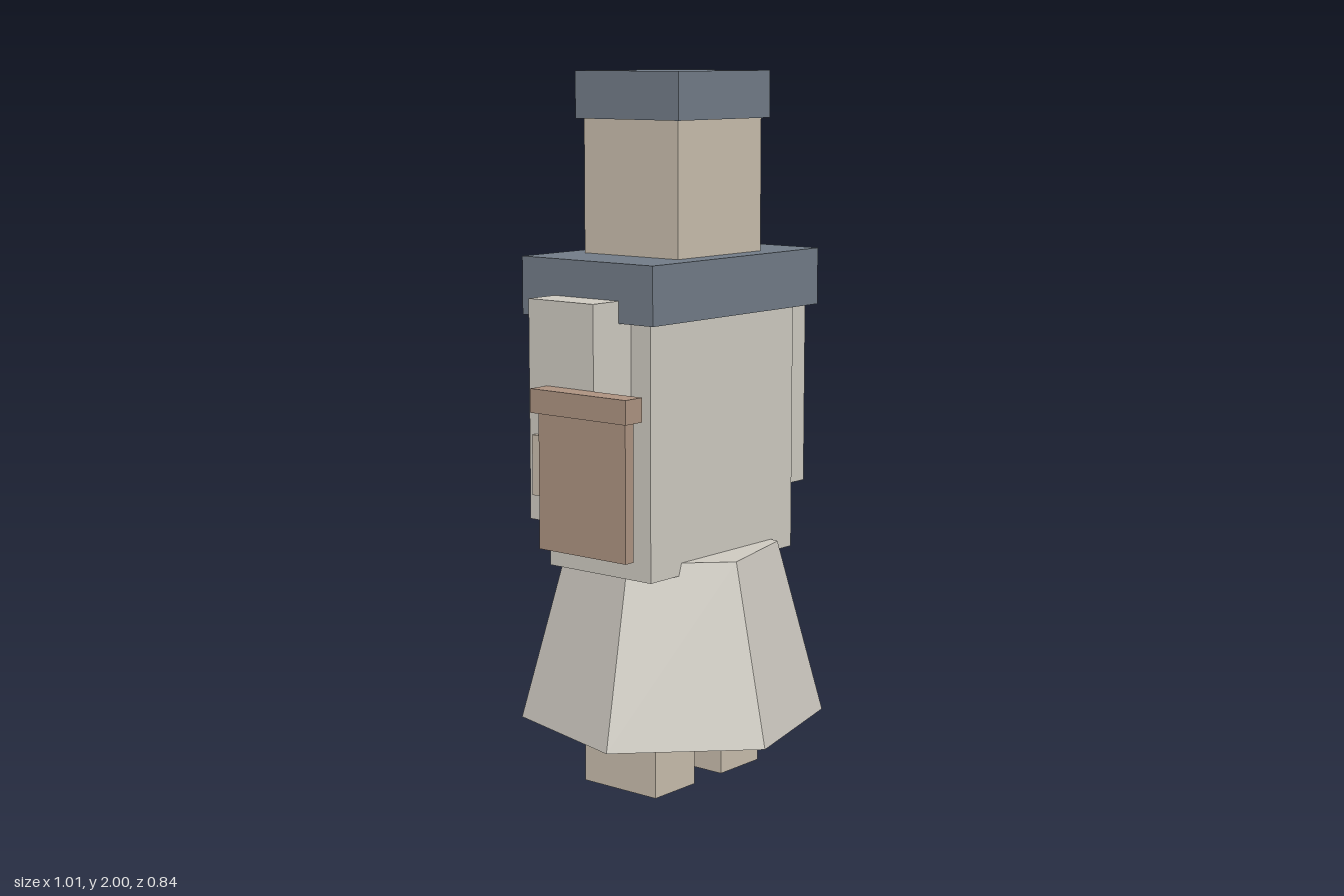
import * as THREE from 'three';

const material = (color) => new THREE.MeshStandardMaterial({ color, flatShading: true });

export function createModel() {
  const model = new THREE.Group();
  const cloth = material(0xcdc9c0);
  const slate = material(0x717b86);
  const skin = material(0xc7bcac);
  const wood = material(0xac9280);
  const axis = 0.024; // the figure's own middle, offset by the shield

  // Box given by its extents on each axis
  function box(name, mat, [x0, x1], [y0, y1], [z0, z1]) {
    const mesh = new THREE.Mesh(new THREE.BoxGeometry(x1 - x0, y1 - y0, z1 - z0), mat);
    mesh.position.set((x0 + x1) / 2, (y0 + y1) / 2, (z0 + z1) / 2);
    mesh.name = name;
    model.add(mesh);
  }
  // Box centred on the figure's axis, given by half width and half depth
  const centred = (name, mat, w, y, d) => box(name, mat, [axis - w, axis + w], y, [-d, d]);

  // Head, hat and body
  centred('hat', slate, 0.2, [1.87, 2], 0.183);
  centred('head', skin, 0.182, [1.5, 1.87], 0.167);
  centred('collar', slate, 0.365, [1.34, 1.5], 0.233);
  centred('torso', cloth, 0.315, [0.635, 1.4], 0.183);

  // Six-sided flared skirt
  const skirt = new THREE.Mesh(new THREE.CylinderGeometry(0.3, 0.434, 0.5, 6), cloth);
  skirt.name = 'skirt';
  skirt.position.set(axis, 0.42, 0);
  skirt.rotation.y = -Math.PI / 12;
  model.add(skirt);

  // Arms, hands and legs on both sides
  for (const [side, s] of [['left', 1], ['right', -1]]) {
    const span = (a, b) => [axis + s * a, axis + s * b].sort((p, q) => p - q);
    box(side + 'Arm', cloth, span(0.315, 0.467), [0.8, 1.4], [-0.115, 0.115]);
    box(side + 'Hand', skin, span(0.35, 0.482), [0.87, 1.035], [-0.093, 0.093]);
    box(side + 'Leg', skin, span(0.06, 0.233), [0, 0.25], [-0.13, 0.13]);
  }

  // Board carried by the right hand, with a thicker top rail
  box('board', wood, [-0.492, -0.46], [0.735, 1.105], [-0.037, 0.267]);
  box('boardRail', wood, [-0.508, -0.443], [1.105, 1.17], [-0.052, 0.282]);

  return model;
}
